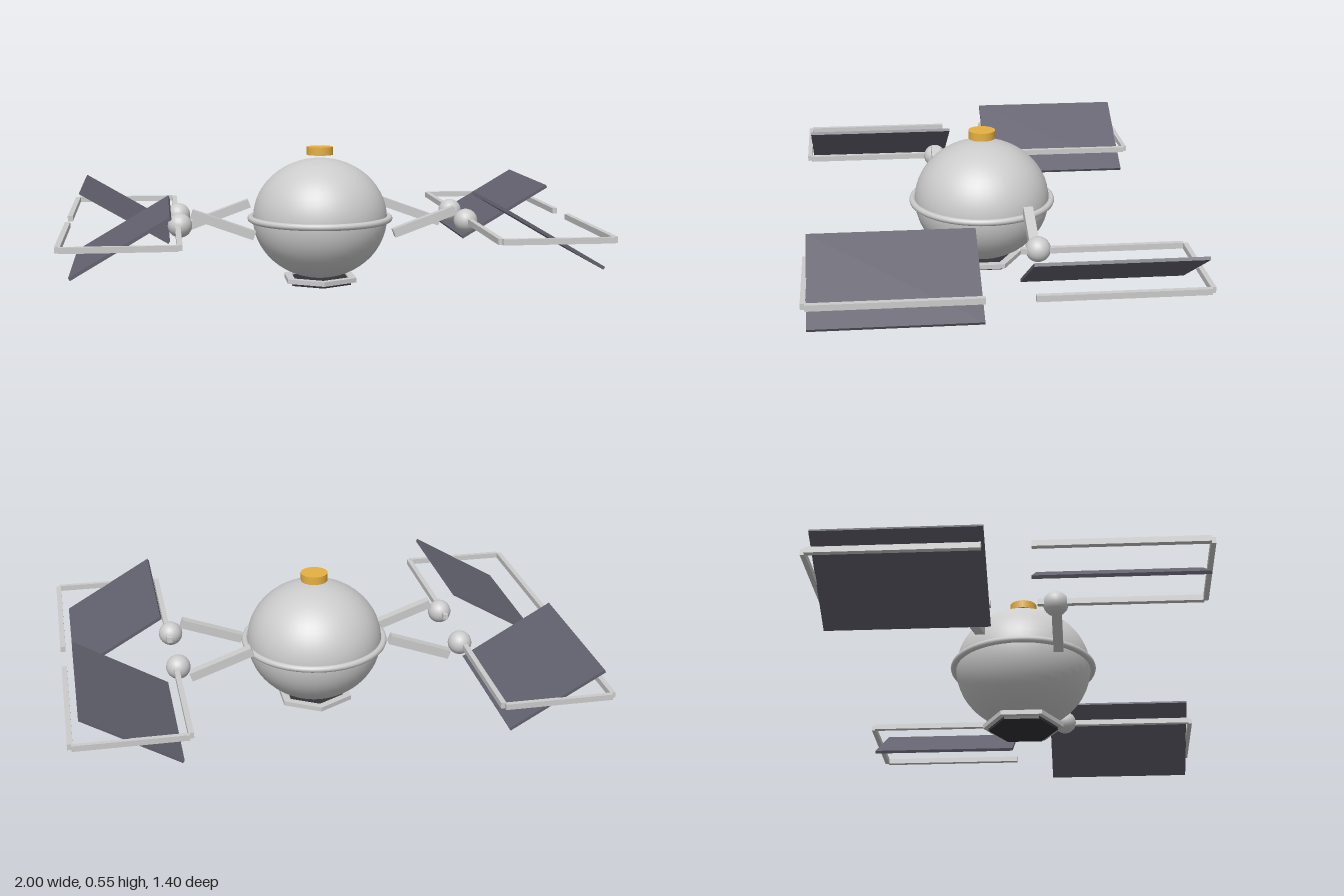
import * as THREE from 'three';

const grey = new THREE.MeshStandardMaterial({ color: 0xcccccc });
const greyFlat = new THREE.MeshStandardMaterial({ color: 0xcccccc, flatShading: true });
const panelMat = new THREE.MeshStandardMaterial({ color: 0x62616e });
const goldMat = new THREE.MeshStandardMaterial({ color: 0xe6b040 });
const darkMat = new THREE.MeshStandardMaterial({ color: 0x333338, flatShading: true });

const MID = 0.263; // height of the equator, arms and panels

function add(parent, name, geometry, material, x = 0, y = 0, z = 0) {
  const mesh = new THREE.Mesh(geometry, material);
  mesh.name = name;
  mesh.position.set(x, y, z);
  parent.add(mesh);
  return mesh;
}

// Hexagon with corners on the z axis
function hexagon(radius, Type = THREE.Shape) {
  const points = [];
  for (let i = 0; i < 6; i++) {
    const a = Math.PI / 2 + (i * Math.PI) / 3;
    points.push(new THREE.Vector2(radius * Math.cos(a), radius * Math.sin(a)));
  }
  return new Type(points);
}

// One arm, joint and framed panel; sx and sz choose the quadrant
function createWing(sx, sz) {
  const wing = new THREE.Group();
  wing.name = `${sz > 0 ? 'front' : 'back'}${sx > 0 ? 'Left' : 'Right'}Wing`;
  const twist = sx * sz;

  const arm = add(wing, 'arm', new THREE.BoxGeometry(0.257, 0.035, 0.037), grey, sx * 0.394, MID, sz * 0.15);
  arm.rotation.z = twist * THREE.MathUtils.degToRad(20);
  add(wing, 'joint', new THREE.SphereGeometry(0.047, 20, 14), grey, sx * 0.56, MID, sz * 0.15);

  // U-shaped frame, open towards the middle
  for (const x of [0.57, 0.99]) {
    add(wing, 'frameSideBar', new THREE.BoxGeometry(0.02, 0.022, 0.6), grey, sx * x, MID, sz * 0.385);
  }
  add(wing, 'frameEndBar', new THREE.BoxGeometry(0.41, 0.022, 0.018), grey, sx * 0.78, MID, sz * 0.691);

  // Tilted panel
  const panel = add(wing, 'panel', new THREE.BoxGeometry(0.408, 0.012, 0.602), panelMat, sx * 0.776, MID, sz * 0.383);
  panel.rotation.z = -twist * THREE.MathUtils.degToRad(30.5);
  return wing;
}

export function createModel() {
  const model = new THREE.Group();
  model.name = 'satellite';

  // Slightly flattened body with an equator ring
  const body = add(model, 'body', new THREE.SphereGeometry(0.268, 40, 28), grey, 0, MID, 0);
  body.scale.y = 0.24 / 0.268;
  const ring = add(model, 'equatorRing', new THREE.TorusGeometry(0.277, 0.013, 10, 56), grey, 0, MID, 0);
  ring.rotation.x = Math.PI / 2;

  // Gold cap floating just above the body
  add(model, 'cap', new THREE.CylinderGeometry(0.053, 0.053, 0.032, 20), goldMat, 0, 0.532, 0);

  // Hexagonal base: grey rim around a dark plate
  const rimShape = hexagon(0.158);
  rimShape.holes.push(hexagon(0.125, THREE.Path));
  const rim = add(model, 'baseRim', new THREE.ExtrudeGeometry(rimShape, { depth: 0.018, bevelEnabled: false }), greyFlat, 0, 0.029, 0);
  rim.rotation.x = Math.PI / 2;
  add(model, 'basePlate', new THREE.CylinderGeometry(0.136, 0.136, 0.022, 6), darkMat, 0, 0.011, 0);

  for (const sx of [-1, 1]) {
    for (const sz of [-1, 1]) model.add(createWing(sx, sz));
  }
  return model;
}
